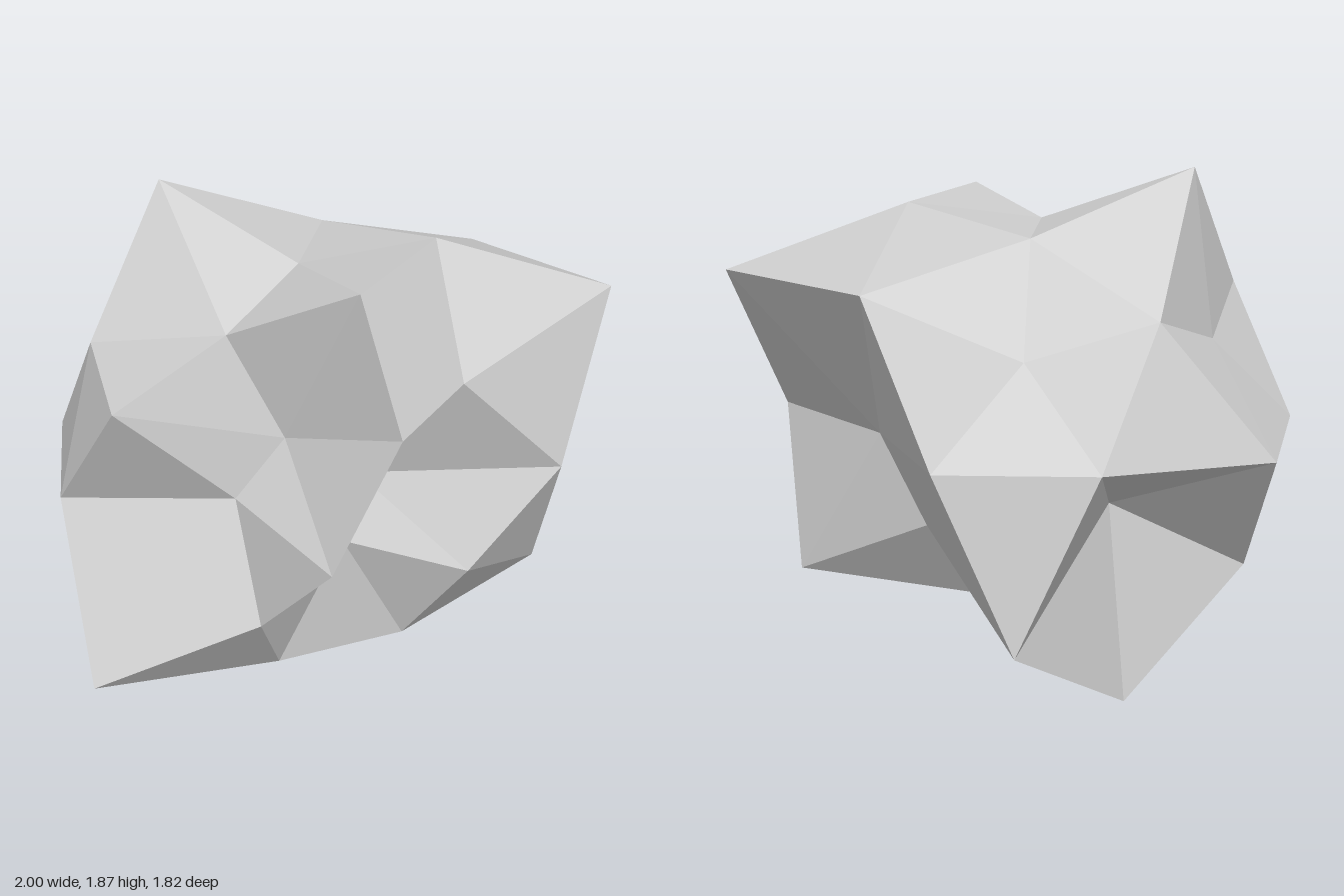
import * as THREE from 'three';
import { ConvexGeometry } from 'three/addons/geometries/ConvexGeometry.js';

// Rings of a once-subdivided icosphere standing on its pole:
// [latitude, first azimuth, radius of each vertex around the ring]; azimuth runs from +x towards +z
const RING = THREE.MathUtils.radToDeg(Math.atan(0.5));
const MID = 31.717;
const STEEP = 58.283;
const RINGS = [
  [90, 0, [0.712]],
  [STEEP, 0, [0.92, 0.925, 0.64, 1.083, 0.83]],
  [MID, 36, [0.758, 0.31, 0.864, 0.885, 1.058]],
  [RING, 0, [1.263, 0.893, 0.927, 0.73, 0.74]],
  [0, 18, [0.955, 0.297, 0.905, 0.457, 0.915, 0.915, 1.035, 0.875, 0.915, 0.66]],
  [-RING, 36, [0.771, 0.771, 0.76, 0.523, 0.676]],
  [-MID, 0, [1.058, 0.42, 1.158, 0.935, 1.128]],
  [-STEEP, 36, [0.818, 0.8, 1.09, 1.11, 0.723]],
  [-90, 0, [0.63]],
];

export function createModel() {
  const directions = [];
  const radii = [];
  for (const [latitude, start, ring] of RINGS) {
    ring.forEach((radius, i) => {
      const lat = THREE.MathUtils.degToRad(latitude);
      const az = THREE.MathUtils.degToRad(start + (i * 360) / ring.length);
      directions.push(new THREE.Vector3(
        Math.cos(lat) * Math.cos(az), Math.sin(lat), Math.cos(lat) * Math.sin(az)));
      radii.push(radius);
    });
  }

  // The hull of the unit directions gives the faces; each corner then moves out to its own radius
  const geometry = new ConvexGeometry(directions);
  const position = geometry.attributes.position;
  const corner = new THREE.Vector3();
  for (let i = 0; i < position.count; i++) {
    corner.fromBufferAttribute(position, i);
    let nearest = 0;
    directions.forEach((d, k) => {
      if (d.dot(corner) > directions[nearest].dot(corner)) nearest = k;
    });
    corner.copy(directions[nearest]).multiplyScalar(radii[nearest]);
    position.setXYZ(i, corner.x, corner.y, corner.z);
  }
  geometry.translate(-0.13, 0.945, 0.003);
  geometry.computeVertexNormals();

  // Boulder
  const rock = new THREE.Mesh(
    geometry, new THREE.MeshStandardMaterial({ color: 0xcccccc, flatShading: true }));
  rock.name = 'rock';
  const group = new THREE.Group();
  group.name = 'boulder';
  group.add(rock);
  return group;
}
